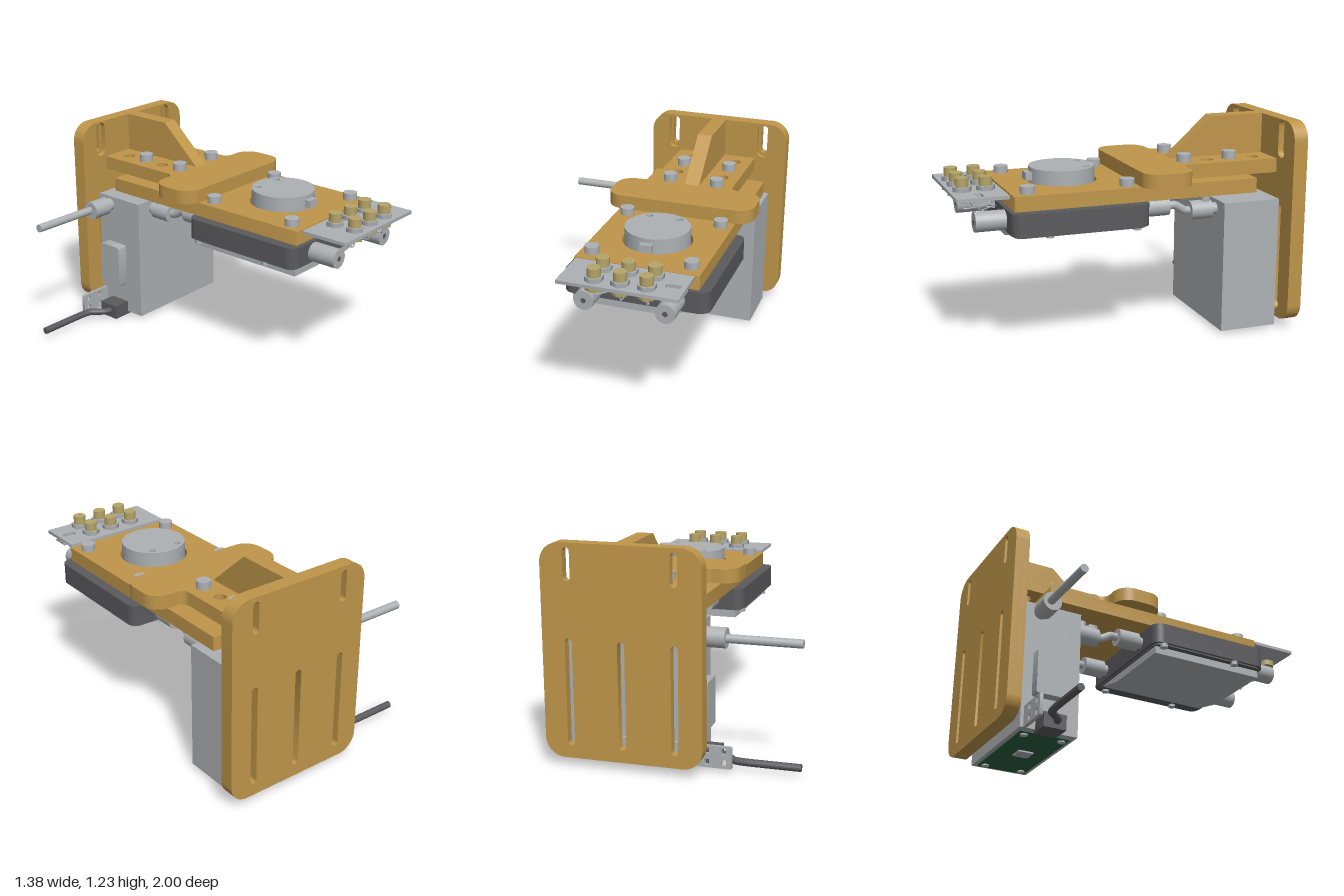
import * as THREE from 'three';
import { toCreasedNormals } from 'three/addons/utils/BufferGeometryUtils.js';

const mat = (name, color, side = THREE.FrontSide) => {
  const m = new THREE.MeshStandardMaterial({ color, side });
  m.name = name;
  return m;
};

export function createModel() {
  const model = new THREE.Group();
  const tan = mat('tan', 0xbf964a), grey = mat('light grey', 0xadb1b4);
  const dark = mat('dark grey', 0x5a5a5d), brass = mat('brass', 0xb5a468);
  const green = mat('board green', 0x2a6040);

  const add = (name, geo, m, x = 0, y = 0, z = 0) => {
    const mesh = new THREE.Mesh(geo, m);
    mesh.name = name;
    mesh.position.set(x, y, z);
    model.add(mesh);
    return mesh;
  };
  // box given by its limits on each axis
  const box = (name, m, x0, x1, y0, y1, z0, z1) =>
    add(name, new THREE.BoxGeometry(x1 - x0, y1 - y0, z1 - z0), m, (x0 + x1) / 2, (y0 + y1) / 2, (z0 + z1) / 2);
  // upright cylinder between two heights
  const post = (name, m, x, z, r, y0, y1, sides = 28) =>
    add(name, new THREE.CylinderGeometry(r, r, y1 - y0, sides), m, x, (y0 + y1) / 2, z);
  const rodX = (name, m, x0, x1, y, z, r) => {
    add(name, new THREE.CylinderGeometry(r, r, x1 - x0, 28), m, (x0 + x1) / 2, y, z).rotation.z = Math.PI / 2;
  };
  const rodZ = (name, m, x, y, z0, z1, r, sides = 28) => {
    add(name, new THREE.CylinderGeometry(r, r, z1 - z0, sides), m, x, y, (z0 + z1) / 2).rotation.x = Math.PI / 2;
  };
  const tube = (name, m, pts, r) => {
    const curve = new THREE.CatmullRomCurve3(pts.map(p => new THREE.Vector3(...p)), false, 'catmullrom', 0.2);
    return add(name, new THREE.TubeGeometry(curve, 24, r, 12), m);
  };
  const extrude = (shape, depth) => toCreasedNormals(
    new THREE.ExtrudeGeometry(shape, { depth, bevelEnabled: false, curveSegments: 12 }), 0.6);
  // horizontal slab whose outline is drawn in x and z
  const slab = (name, m, shape, y0, y1) =>
    add(name, extrude(shape, y1 - y0).rotateX(Math.PI / 2), m, 0, y1, 0);

  const roundRect = (x0, x1, y0, y1, r, Type = THREE.Shape) => {
    const s = new Type();
    s.absarc(x1 - r, y0 + r, r, -Math.PI / 2, 0);
    s.absarc(x1 - r, y1 - r, r, 0, Math.PI / 2);
    s.absarc(x0 + r, y1 - r, r, Math.PI / 2, Math.PI);
    s.absarc(x0 + r, y0 + r, r, Math.PI, Math.PI * 1.5);
    s.closePath();
    return s;
  };
  const hole = (x, y, r) => new THREE.Path().absarc(x, y, r, 0, Math.PI * 2);
  const slot = (x, y0, y1, w) => roundRect(x - w, x + w, y0, y1, w * 0.99, THREE.Path);

  // Back plate: narrow slots behind, wider recesses in front
  const plateLayer = (name, z0, z1, w, grow) => {
    const s = roundRect(-0.2, 0.69, 0.05, 1.235, 0.11);
    for (const x of [-0.05, 0.54]) s.holes.push(slot(x, 1.03 - grow, 1.21 + grow, w));
    for (const x of [-0.05, 0.245, 0.54]) s.holes.push(slot(x, 0.12 - grow, 0.72 + grow, w));
    add(name, extrude(s, z1 - z0), tan, 0, 0, z0);
  };
  plateLayer('backPlateRear', -1, -0.95, 0.02, 0);
  plateLayer('backPlateFront', -0.95, -0.915, 0.038, 0.018);

  // T-shaped bracket arm
  const arm = new THREE.Shape();
  arm.moveTo(-0.01, -0.915);
  arm.lineTo(0.49, -0.915);
  arm.lineTo(0.49, -0.38);
  arm.quadraticCurveTo(0.49, -0.325, 0.55, -0.325);
  arm.lineTo(0.59, -0.325);
  arm.absarc(0.59, -0.225, 0.1, -Math.PI / 2, 0);
  arm.absarc(0.59, -0.13, 0.1, 0, Math.PI / 2);
  arm.absarc(-0.1, -0.13, 0.1, Math.PI / 2, Math.PI);
  arm.absarc(-0.1, -0.225, 0.1, Math.PI, Math.PI * 1.5);
  arm.lineTo(-0.07, -0.325);
  arm.quadraticCurveTo(-0.01, -0.325, -0.01, -0.38);
  arm.closePath();
  for (const x of [0.095, 0.39]) for (const z of [-0.805, -0.515]) arm.holes.push(hole(x, z, 0.035));
  slab('bracketArm', tan, arm, 0.918, 1.0);

  // Gusset between arm and back plate
  const rib = new THREE.Shape([[0.915, 0.99], [0.915, 1.235], [0.59, 1.235], [0.33, 1.0], [0.33, 0.99]]
    .map(p => new THREE.Vector2(...p)));
  add('gusset', extrude(rib, 0.09).rotateY(Math.PI / 2), tan, 0.2, 0, 0);

  // Lower mounting plate with a round opening
  const lower = roundRect(-0.11, 0.6, -0.735, 0.69, 0.006);
  lower.holes.push(hole(0.245, 0.32, 0.2));
  slab('mountingPlate', tan, lower, 0.835, 0.918);

  // Round sensor cap with two pin holes and a key
  const cap = new THREE.Shape();
  cap.absarc(0.245, 0.32, 0.187, 0, Math.PI * 2);
  for (const x of [0.155, 0.335]) cap.holes.push(hole(x, 0.2, 0.02));
  slab('sensorCap', grey, cap, 0.98, 1.0);
  post('sensorBody', grey, 0.245, 0.32, 0.187, 0.83, 0.98, 48);
  box('sensorKey', grey, 0.21, 0.28, 0.93, 0.975, 0.49, 0.54);

  // Bolts
  for (const x of [-0.04, 0.53]) for (const z of [0.03, 0.6]) post('plateBolt', grey, x, z, 0.041, 0.915, 0.96);
  for (const x of [0.095, 0.39]) for (const z of [-0.655, -0.37]) {
    post('armBolt', grey, x, z, 0.041, 0.99, 1.045);
    post('armNut', grey, x, z, 0.045, 0.795, 0.835, 6);
  }

  // Dark housing, and its wedge-shaped bottom cover
  slab('housing', dark, roundRect(-0.17, 0.66, -0.07, 0.715, 0.06), 0.71, 0.834);
  slab('housingLip', dark, roundRect(-0.155, 0.645, -0.055, 0.7, 0.05), 0.7, 0.71);
  const wedge = new THREE.Shape([[-0.12, 0.705], [-0.12, 0.655], [0.37, 0.655], [0.54, 0.695], [0.6, 0.705]]
    .map(p => new THREE.Vector2(...p)));
  add('bottomCover', extrude(wedge, 0.735), grey, 0, 0, -0.045);
  for (const x of [-0.145, 0.61]) for (const z of [0.0, 0.5]) post('coverScrew', grey, x, z, 0.023, 0.685, 0.71, 16);

  // Hose fittings in front and behind the housing
  for (const x of [0.02, 0.475]) {
    rodZ('frontFitting', grey, x, 0.77, 0.705, 0.885, 0.056);
    rodZ('fittingSocket', dark, x, 0.77, 0.883, 0.887, 0.016, 6);
    rodZ('rearNeck', grey, x, 0.77, -0.11, -0.06, 0.035);
    rodZ('rearFitting', grey, x, 0.77, -0.235, -0.1, 0.055);
    tube('rearHose', grey, [[x, 0.77, -0.22], [x, 0.77, -0.28], [x, 0.735, -0.34], [x, 0.73, -0.39]], 0.024);
    rodZ('boxFitting', grey, x, 0.73, -0.5, -0.37, 0.055);
    rodZ('boxNeck', grey, x, 0.73, -0.54, -0.49, 0.035);
    post('bleedScrew', grey, x, -0.47, 0.028, 0.77, 0.81, 16);
  }
  for (const x of [0.14, 0.35]) rodZ('frontPlug', dark, x, 0.77, 0.71, 0.718, 0.033);

  // Connector board on stand-offs, with its terminals and wires
  const board = roundRect(-0.09, 0.58, 0.71, 0.995, 0.004);
  board.holes.push(roundRect(0.47, 0.55, 0.84, 0.88, 0.004, THREE.Path));
  slab('connectorBoard', grey, board, 0.906, 0.925);
  box('boardSocket', grey, 0.44, 0.575, 0.884, 0.892, 0.81, 0.91);
  for (const x of [0.45, 0.565]) box('socketWall', grey, x - 0.01, x + 0.01, 0.89, 0.907, 0.82, 0.9);
  for (const x of [0.1, 0.245, 0.39]) for (const z of [0.795, 0.925]) {
    post('terminalNut', grey, x, z, 0.052, 0.925, 0.95, 6);
    post('terminalPost', brass, x, z, 0.037, 0.95, 1.0);
    post('terminalBase', brass, x, z, 0.05, 0.872, 0.906, 6);
    tube('terminalWire', grey, [[x, 0.875, z], [x, 0.83, z], [x, 0.825, z - 0.03],
      [0.245 + (x - 0.245) * 0.2, 0.81, 0.73], [0.245, 0.805, 0.7]], 0.004);
  }
  tube('socketWire', grey, [[0.51, 0.885, 0.86], [0.51, 0.84, 0.86], [0.4, 0.825, 0.78], [0.25, 0.8, 0.7]], 0.004);
  post('wireOutlet', grey, 0.245, 0.712, 0.02, 0.785, 0.83, 16);

  // Tall electronics box with side and rear covers
  box('electronicsBox', grey, -0.11, 0.6, 0.02, 0.785, -0.88, -0.535);
  box('rearCover', grey, -0.03, 0.52, 0.09, 0.16, -0.9, -0.88);
  add('sideCover', extrude(roundRect(-0.82, -0.66, 0.21, 0.48, 0.015), 0.065).rotateY(-Math.PI / 2), grey, -0.11, 0, 0);

  // Circuit board under the box
  box('circuitBoard', green, -0.07, 0.57, 0.013, 0.021, -0.855, -0.56);
  box('circuitChip', grey, 0.2, 0.29, 0.004, 0.014, -0.75, -0.66);
  for (const x of [-0.03, 0.53]) for (const z of [-0.82, -0.595]) post('boardScrew', grey, x, z, 0.022, 0.005, 0.014, 16);

  // Upper outlet: gland and pipe
  rodX('pipeGland', grey, -0.275, -0.15, 0.73, -0.79, 0.056);
  rodX('glandNeck', grey, -0.16, -0.1, 0.73, -0.79, 0.04);
  rodX('outletPipe', grey, -0.69, -0.27, 0.73, -0.8, 0.024);

  // Lower outlet: plug, cable and perforated bracket
  box('cablePlug', dark, -0.22, -0.09, 0.002, 0.09, -0.79, -0.655);
  tube('cable', dark, [[-0.69, 0.047, -0.8], [-0.4, 0.047, -0.8], [-0.32, 0.047, -0.79],
    [-0.25, 0.047, -0.72], [-0.2, 0.047, -0.71]], 0.021);
  const end = new THREE.CircleGeometry(0.021, 12).rotateY(-Math.PI / 2);
  add('cableEnd', end, dark, -0.69, 0.047, -0.8);
  const bracket = roundRect(-0.32, -0.1, 0.02, 0.145, 0.004);
  for (const x of [-0.278, -0.183]) for (const y of [0.035, 0.1])
    bracket.holes.push(roundRect(x - 0.012, x + 0.012, y, y + 0.033, 0.002, THREE.Path));
  add('cableBracket', extrude(bracket, 0.02), grey, 0, 0, -0.86);

  return model;
}
